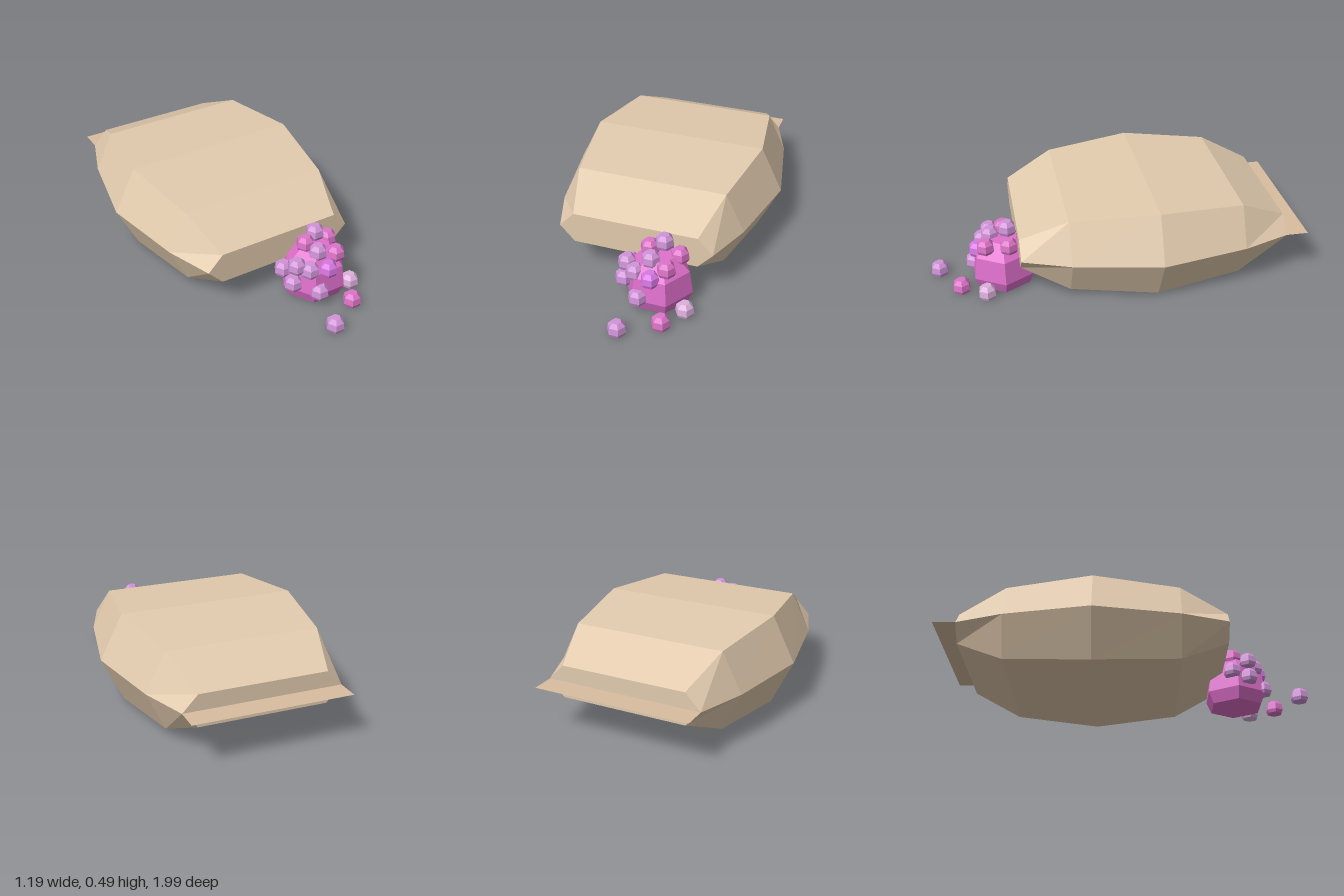
import * as THREE from 'three';

const mat = (color, extra = {}) =>
  new THREE.MeshStandardMaterial({ color, flatShading: true, ...extra });

// Hexagonal cross-sections along z, joined by quads and capped at both ends
function sackGeometry() {
  const mid = 0.25;
  // z, half width at the seam, half width of the flat faces, half height
  const rings = [
    [-0.88, 0.415, 0.335, 0.085],
    [-0.63, 0.505, 0.405, 0.205],
    [-0.175, 0.593, 0.475, 0.24],
    [0.28, 0.505, 0.405, 0.205],
    [0.53, 0.415, 0.335, 0.085],
  ];
  const pos = [], index = [];
  for (const [z, o, i, h] of rings) {
    pos.push(o, mid, z, i, mid + h, z, -i, mid + h, z, -o, mid, z, -i, mid - h, z, i, mid - h, z);
  }
  for (let k = 0; k < rings.length - 1; k++) {
    for (let j = 0; j < 6; j++) {
      const a = k * 6 + j, b = k * 6 + (j + 1) % 6;
      index.push(a, b, a + 6, b, b + 6, a + 6);
    }
  }
  const last = (rings.length - 1) * 6;
  for (let j = 1; j < 5; j++) {
    index.push(0, j + 1, j);
    index.push(last, last + j, last + j + 1);
  }
  const g = new THREE.BufferGeometry();
  g.setAttribute('position', new THREE.Float32BufferAttribute(pos, 3));
  g.setIndex(index);
  g.computeVertexNormals();
  return g;
}

// Six-sided faceted nugget with a flat base and top
function nuggetGeometry() {
  const profile = [[0, 0], [0.042, 0], [0.05, 0.018], [0.045, 0.052], [0.025, 0.073], [0, 0.073]]
    .map(([r, y]) => new THREE.Vector2(r, y));
  return new THREE.LatheGeometry(profile, 6, Math.PI / 6);
}

export function createModel() {
  const model = new THREE.Group();
  model.name = 'sackWithBerries';
  const add = (name, geometry, material, x = 0, y = 0, z = 0, parent = model) => {
    const mesh = new THREE.Mesh(geometry, material);
    mesh.name = name;
    mesh.position.set(x, y, z);
    parent.add(mesh);
    return mesh;
  };

  // Stuffed sack
  add('sack', sackGeometry(), mat(0xe2cbae));

  // Thin flap along the back seam
  const flap = new THREE.PlaneGeometry(0.83, 0.12).rotateX(-Math.PI / 2);
  add('flap', flap, mat(0xd9bea0, { side: THREE.DoubleSide }), 0, 0.25, -0.94);

  // Large core nugget of the pile
  const nugget = nuggetGeometry();
  add('pileCore', nugget, mat(0xe070cc), 0.16, 0, 0.61).scale.setScalar(3.6);

  // Small nuggets on and around the core: x, base y, z, colour
  const pink = mat(0xdc74c8), lilac = mat(0xd094d8), violet = mat(0xd878e4), pale = mat(0xdcb0dc);
  const small = new THREE.Group();
  small.name = 'smallNuggets';
  model.add(small);
  [
    [0.065, 0, 0.95, lilac],
    [0.25, 0, 0.84, pink],
    [0.33, 0, 0.71, pale],
    [0.1, 0.055, 0.76, lilac],
    [0.16, 0.165, 0.74, violet],
    [-0.003, 0.09, 0.67, lilac],
    [-0.005, 0.125, 0.58, lilac],
    [0.015, 0.19, 0.67, lilac],
    [0.07, 0.17, 0.71, lilac],
    [0.11, 0.255, 0.6, pink],
    [0.14, 0.235, 0.67, lilac],
    [0.18, 0.288, 0.58, lilac],
    [0.23, 0.215, 0.7, pink],
    [0.26, 0.225, 0.58, pink],
  ].forEach(([x, y, z, m], i) => add(`nugget${i + 1}`, nugget, m, x, y, z, small));

  return model;
}
